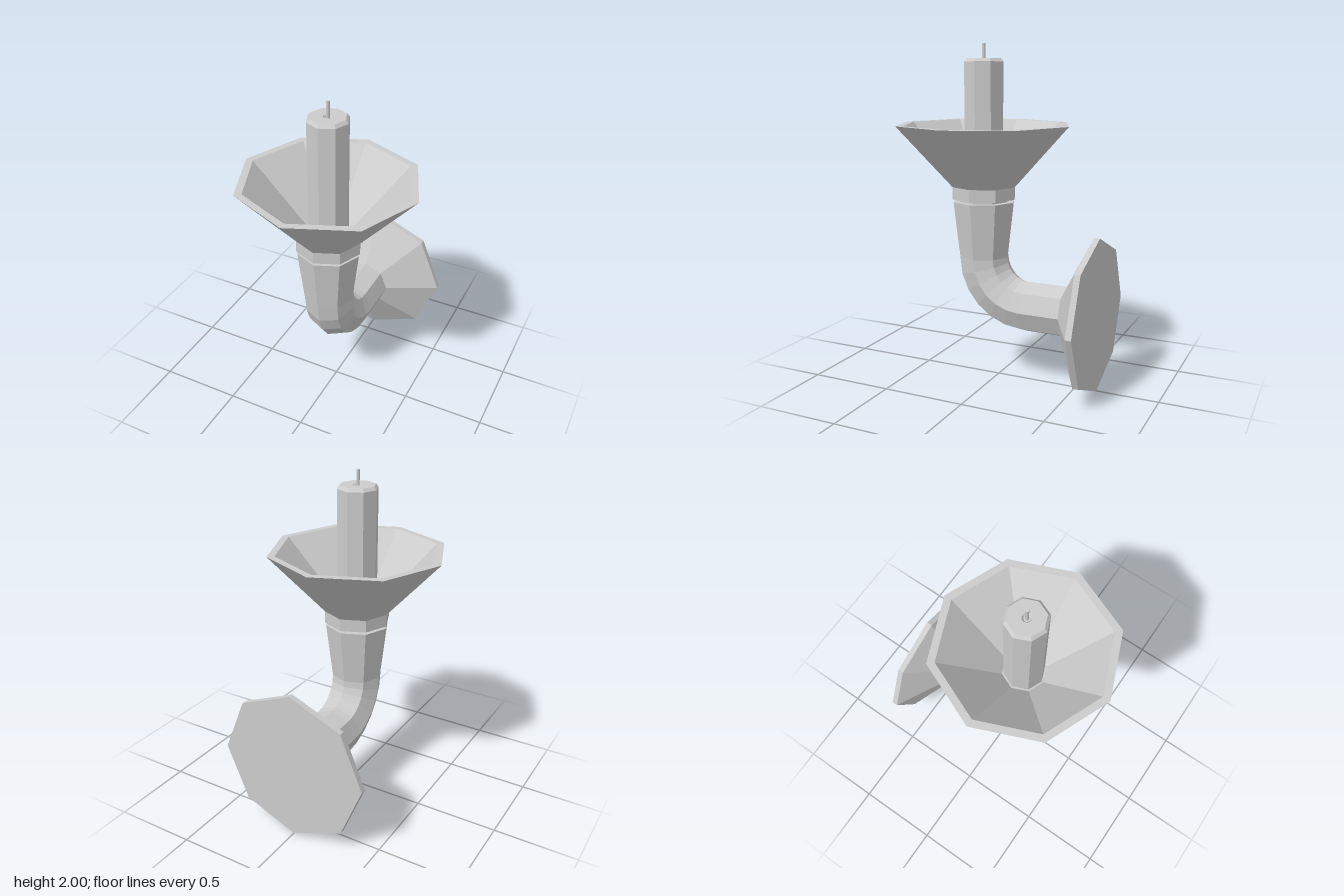
import * as THREE from 'three';

const SIDES = 8;
const AXIS_Z = 0.097; // vertical axis of the candle and cup
const PLATE_Y = 0.457; // height of the wall plate's centre

const material = new THREE.MeshStandardMaterial({ color: 0xcccccc, flatShading: true });

// Faceted turned shape from [radius, height] pairs, listed bottom to top on the outside
function turned(name, profile, sides = SIDES) {
  const points = profile.map(([r, y]) => new THREE.Vector2(r, y));
  const mesh = new THREE.Mesh(new THREE.LatheGeometry(points, sides), material);
  mesh.name = name;
  return mesh;
}

// Octagonal arm: straight out of the wall, bent upwards, then flaring to the cup
function createArm() {
  const bendR = 0.288, r = 0.153, steps = 6;
  const bendZ = AXIS_Z - bendR, bendY = PLATE_Y + bendR;
  const sections = [{ z: -0.5, y: PLATE_Y, a: 0, r }];
  for (let i = 0; i <= steps; i++) {
    const a = (i / steps) * Math.PI / 2;
    sections.push({ z: bendZ + bendR * Math.sin(a), y: bendY - bendR * Math.cos(a), a, r });
  }
  const top = { z: AXIS_Z, y: 1.08, a: Math.PI / 2 };
  sections.push({ ...top, r: 0.192 }, { ...top, r: 0 });

  // Each row of a straight turned shape is carried to its section on the path
  const arm = turned('arm', sections.map((s, i) => [s.r, i]));
  const pos = arm.geometry.attributes.position;
  for (let i = 0; i < pos.count; i++) {
    const s = sections[Math.round(pos.getY(i))];
    const d = pos.getZ(i);
    pos.setXYZ(i, pos.getX(i), s.y - d * Math.cos(s.a), s.z + d * Math.sin(s.a));
  }
  arm.geometry.computeVertexNormals();
  return arm;
}

export function createModel() {
  const model = new THREE.Group();
  model.name = 'wallCandleHolder';

  // Wall plate: thin rim and a cone narrowing to the arm
  const plate = turned('wallPlate', [[0, -0.63], [0.457, -0.63], [0.457, -0.595], [0.153, -0.438], [0, -0.438]]);
  plate.geometry.rotateX(Math.PI / 2);
  plate.position.y = PLATE_Y;

  // Collar and flared drip cup in one hollow profile
  const cup = turned('dripCup', [
    [0.152, 1.07], [0.152, 1.097], [0.197, 1.097], [0.197, 1.17],
    [0.53, 1.535], [0.485, 1.535], [0.13, 1.18], [0, 1.18],
  ]);

  // Candle with bevelled top edge and a small dip around the wick
  const candle = turned('candle', [
    [0.12, 1.17], [0.12, 1.897], [0.104, 1.915], [0.028, 1.915], [0.018, 1.9], [0, 1.9],
  ]);
  const wick = turned('wick', [[0.01, 1.89], [0.01, 2], [0, 2]]);

  for (const part of [cup, candle, wick]) part.position.z = AXIS_Z;
  model.add(plate, createArm(), cup, candle, wick);
  return model;
}
